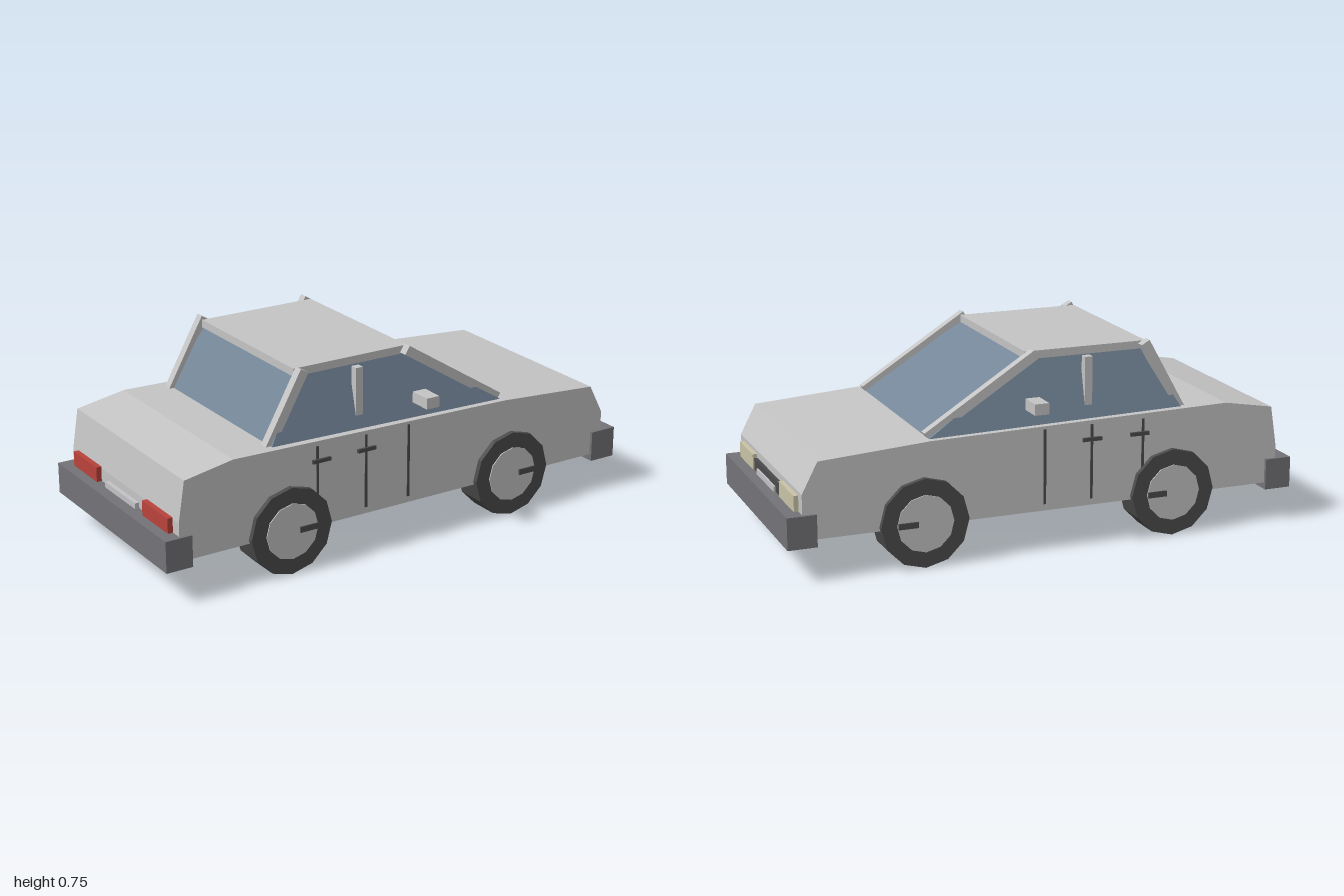
import * as THREE from 'three';

export function createModel() {
  const car = new THREE.Group();
  car.name = 'car';

  const mat = (name, color) => {
    const m = new THREE.MeshStandardMaterial({ color, flatShading: true });
    m.name = name;
    return m;
  };
  const paint = mat('silverPaint', 0xc4c4c4);
  const glass = mat('tintedGlass', 0x748698);
  const rubber = mat('darkRubber', 0x4b4b4b);
  const bumperGrey = mat('bumperGrey', 0x737277);
  const cream = mat('headlightCream', 0xc8c3a6);
  const red = mat('tailLightRed', 0xb8423c);
  const plateGrey = mat('plateGrey', 0xc2c2c6);

  const add = (name, geometry, material, parent = car) => {
    const mesh = new THREE.Mesh(geometry, material);
    mesh.name = name;
    parent.add(mesh);
    return mesh;
  };
  // Box given by its minimum and maximum along each axis
  const box = (name, material, [x0, x1], [y0, y1], [z0, z1], parent = car) => {
    const mesh = add(name, new THREE.BoxGeometry(x1 - x0, y1 - y0, z1 - z0), material, parent);
    mesh.position.set((x0 + x1) / 2, (y0 + y1) / 2, (z0 + z1) / 2);
    return mesh;
  };
  // Same, but with the z range flipped to the given side
  const sideBox = (name, material, x, y, [z0, z1], s) =>
    box(name, material, x, y, s > 0 ? [z0, z1] : [-z1, -z0]);

  // Body: side profile extruded across the width
  const profile = [
    [-0.94, 0.155], [0.94, 0.155], [0.94, 0.325], [0.88, 0.44],
    [0.46, 0.468], [-0.72, 0.49], [-0.915, 0.455], [-0.94, 0.3],
  ].map(([x, y]) => new THREE.Vector2(x, y));
  const bodyGeo = new THREE.ExtrudeGeometry(new THREE.Shape(profile), { depth: 0.83, bevelEnabled: false });
  bodyGeo.translate(0, 0, -0.415);
  add('body', bodyGeo, paint);

  // Cabin glass: box whose top is drawn in on every side
  const cabin = new THREE.BoxGeometry(2, 2, 2);
  const p = cabin.attributes.position;
  for (let i = 0; i < p.count; i++) {
    const top = p.getY(i) > 0;
    const front = p.getX(i) > 0;
    p.setXYZ(i,
      front ? (top ? 0.06 : 0.47) : (top ? -0.41 : -0.56),
      top ? 0.715 : 0.46,
      Math.sign(p.getZ(i)) * (top ? 0.328 : 0.392));
  }
  cabin.computeVertexNormals();
  add('cabinGlass', cabin, glass);
  box('roof', paint, [-0.42, 0.065], [0.71, 0.74], [-0.33, 0.33]);

  // Slanted pillar between two points of the side view
  const pillar = (name, [x0, y0], [x1, y1], s) => {
    const length = Math.hypot(x1 - x0, y1 - y0);
    const mesh = add(name, new THREE.BoxGeometry(length, 0.036, 0.034), paint);
    mesh.position.set((x0 + x1) / 2, (y0 + y1) / 2, s * 0.357);
    mesh.rotation.z = Math.atan2(y1 - y0, x1 - x0);
  };

  for (const s of [1, -1]) {
    // Cabin frame and mirror
    pillar('frontPillar', [0.46, 0.47], [0.04, 0.735], s);
    pillar('rearPillar', [-0.55, 0.475], [-0.4, 0.742], s);
    sideBox('middlePillar', paint, [-0.185, -0.155], [0.47, 0.71], [0.345, 0.375], s);
    sideBox('mirror', paint, [0.04, 0.095], [0.545, 0.587], [0.41, 0.5], s);

    // Door seams and handles
    for (const x of [-0.375, -0.167, 0.02])
      sideBox('doorSeam', rubber, [x - 0.005, x + 0.005], [0.18, 0.465], [0.412, 0.418], s);
    for (const x of [-0.36, -0.167])
      sideBox('doorHandle', rubber, [x - 0.038, x + 0.038], [0.402, 0.416], [0.41, 0.425], s);

    // Lamps
    sideBox('headlight', cream, [0.93, 0.957], [0.245, 0.31], [0.18, 0.37], s);
    sideBox('tailLight', red, [-0.96, -0.93], [0.245, 0.307], [0.18, 0.37], s);

    // Wheels: twelve-sided tyre, hub disc and a small spoke bar
    for (const x of [-0.495, 0.49]) {
      const wheel = new THREE.Group();
      wheel.name = 'wheel';
      wheel.position.set(x, 0.17, s * 0.375);
      const disc = (name, radius, width, material) =>
        add(name, new THREE.CylinderGeometry(radius, radius, width, 12).rotateX(Math.PI / 2), material, wheel);
      disc('tyre', 0.168, 0.12, rubber);
      disc('hub', 0.108, 0.128, paint);
      box('spokeBar', rubber, [0.03, 0.105], [-0.01, 0.012], s > 0 ? [0.05, 0.07] : [-0.07, -0.05], wheel);
      car.add(wheel);
    }
  }

  // Bumpers, grille and blank plates
  box('frontBumper', bumperGrey, [0.89, 1], [0.13, 0.25], [-0.427, 0.427]);
  box('rearBumper', bumperGrey, [-1, -0.895], [0.13, 0.25], [-0.427, 0.427]);
  box('grille', rubber, [0.93, 0.953], [0.245, 0.296], [-0.175, 0.175]);
  box('frontPlate', plateGrey, [0.95, 0.96], [0.22, 0.272], [-0.118, 0.118]);
  box('rearPlate', plateGrey, [-0.957, -0.938], [0.22, 0.272], [-0.118, 0.118]);

  return car;
}
